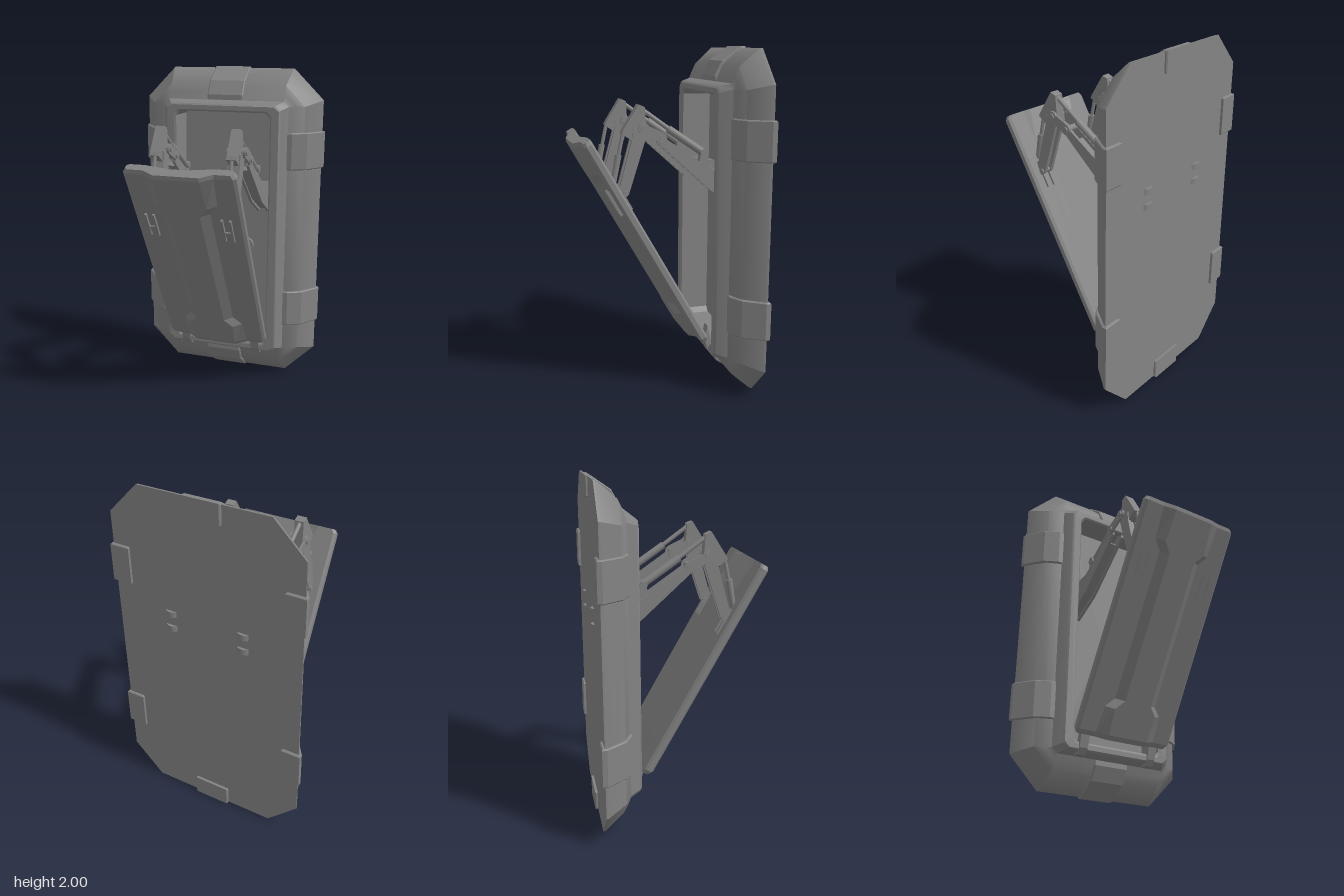
import * as THREE from 'three';
import { toCreasedNormals } from 'three/addons/utils/BufferGeometryUtils.js';

const material = new THREE.MeshStandardMaterial({ color: 0x838383, flatShading: true });
const smooth = new THREE.MeshStandardMaterial({ color: 0x838383 });

function add(parent, name, geometry, mat = material) {
  const mesh = new THREE.Mesh(geometry, mat);
  mesh.name = name;
  parent.add(mesh);
  return mesh;
}

// Skin a list of rings of [x, y, z] points and close both ends
function loft(rings) {
  const pos = [];
  const n = rings[0].length;
  const tri = (a, b, c) => pos.push(...a, ...b, ...c);
  const centre = (ring) => [0, 1, 2].map((k) => ring.reduce((s, p) => s + p[k], 0) / n);
  const first = rings[0], last = rings[rings.length - 1];
  const c0 = centre(first), c1 = centre(last);
  for (let i = 0; i < n; i++) {
    const j = (i + 1) % n;
    tri(c0, first[j], first[i]);
    tri(c1, last[i], last[j]);
    for (let r = 0; r < rings.length - 1; r++) {
      const a = rings[r], b = rings[r + 1];
      tri(a[i], a[j], b[j]);
      tri(a[i], b[j], b[i]);
    }
  }
  const g = new THREE.BufferGeometry();
  g.setAttribute('position', new THREE.Float32BufferAttribute(pos, 3));
  g.computeVertexNormals();
  return g;
}

// Rectangle with cut corners, counter-clockwise from the front
function octagon(z, w, h, c) {
  return [[w, -h + c], [w, h - c], [w - c, h], [-w + c, h],
    [-w, h - c], [-w, -h + c], [-w + c, -h], [w - c, -h]].map(([x, y]) => [x, y + 1, z]);
}

// Plate with a (z, y) outline and a thickness along x
function plate(points, x, width) {
  const shape = new THREE.Shape(points.map(([z, y]) => new THREE.Vector2(z, y)));
  const g = new THREE.ExtrudeGeometry(shape, { depth: width, bevelEnabled: false });
  return g.rotateY(-Math.PI / 2).translate(x + width / 2, 0, 0);
}

// Rod between two (z, y) points at a fixed x
function rod(x, [z0, y0], [z1, y1], r, r1 = r) {
  const a = new THREE.Vector3(x, y0, z0), b = new THREE.Vector3(x, y1, z1);
  const dir = b.clone().sub(a);
  const g = new THREE.CylinderGeometry(r1, r, dir.length(), 16);
  g.applyQuaternion(new THREE.Quaternion().setFromUnitVectors(new THREE.Vector3(0, 1, 0), dir.normalize()));
  const m = a.add(b).multiplyScalar(0.5);
  return g.translate(m.x, m.y, m.z);
}

// Pin running along x
function pin(x, [z, y], r, width) {
  return new THREE.CylinderGeometry(r, r, width, 20).rotateZ(Math.PI / 2).translate(x, y, z);
}

function buildFrame(root) {
  const frame = new THREE.Group();
  frame.name = 'frame';
  root.add(frame);
  // Flared casing, raised front rim, then the recess walls and floor
  add(frame, 'casing', toCreasedNormals(loft([
    octagon(-0.49, 0.575, 0.992, 0.185),
    octagon(-0.475, 0.572, 0.99, 0.185),
    octagon(-0.365, 0.488, 0.895, 0.12),
    octagon(-0.34, 0.435, 0.84, 0.06),
    octagon(-0.325, 0.398, 0.805, 0.03),
    octagon(-0.265, 0.364, 0.787, 0.03),
    octagon(-0.255, 0.355, 0.777, 0.03),
    octagon(-0.255, 0.31, 0.75, 0.03),
    octagon(-0.265, 0.3, 0.74, 0.03),
    octagon(-0.44, 0.3, 0.74, 0.03),
  ]), 0.6), smooth);

  // Clamps wrapping the flank and hooking round the back
  const clampGeometry = (length, shift) => {
    const outline = [[0.47, -0.505], [0.588, -0.505], [0.588, -0.477], [0.508, -0.363],
      [0.425, -0.318], [0.395, -0.318], [0.395, -0.4], [0.47, -0.45]];
    const shape = new THREE.Shape(outline.map(([d, z]) => new THREE.Vector2(d + shift, z)));
    const bevel = 0.006;
    const g = new THREE.ExtrudeGeometry(shape, {
      depth: length - 2 * bevel, bevelThickness: bevel, bevelSize: bevel, bevelOffset: -bevel, bevelSegments: 1,
    });
    return g.translate(0, 0, bevel - length / 2).rotateX(Math.PI / 2);
  };
  for (const turn of [0, Math.PI]) {
    for (const y of [-0.5, 0.508]) {
      const k = turn ? -1 : 1;
      add(frame, 'sideClamp', clampGeometry(0.226, 0).translate(0, y * k, 0).rotateZ(turn).translate(0, 1, 0));
    }
    add(frame, 'endClamp', clampGeometry(0.226, 0.412).rotateZ(turn + Math.PI / 2).translate(0, 1, 0));
  }

  // Fittings on the recess floor
  add(frame, 'floorButton', new THREE.CylinderGeometry(0.05, 0.05, 0.03, 24)
    .rotateX(Math.PI / 2).translate(0.115, 0.87, -0.43));
  add(frame, 'floorCapsule', new THREE.CapsuleGeometry(0.03, 0.12, 6, 16)
    .scale(1, 1, 0.6).translate(0.092, 0.645, -0.44), smooth);
}

function buildDoor(root) {
  const door = new THREE.Group();
  door.name = 'door';
  door.position.set(0, 0.33, -0.235);
  door.rotation.x = 0.517;
  root.add(door);
  // Panel section at height v: raised middle of half width a, its foot at b,
  // ends thinned by f and the back dished by d
  const section = (v, a, b, w, f = 0, d = 0) => {
    const half = [[a, 0.087 - f], [b, 0.053 - f], [w - 0.015, 0.053 - f], [w, 0.04 - f],
      [w, 0.012], [w - 0.015, 0], [0.2, 0], [0.13, d]];
    const mirrored = half.map(([x, z]) => [-x, z]).reverse();
    return [...half, ...mirrored].map(([x, z]) => [x, v, z]);
  };
  add(door, 'doorPanel', loft([
    section(-0.018, 0.13, 0.2, 0.3, 0.008, 0.012),
    section(0.012, 0.13, 0.2, 0.32, 0, 0.01),
    section(0.165, 0.14, 0.19, 0.32),
    section(0.22, 0.09, 0.14, 0.32),
    section(1.095, 0.09, 0.14, 0.32),
    section(1.155, 0.14, 0.19, 0.32),
    section(1.345, 0.13, 0.2, 0.32, 0, 0.02),
    section(1.367, 0.13, 0.2, 0.305, 0.008, 0.022),
  ]));
  for (const x of [-0.225, 0.225]) {
    // Arm fork let through the panel
    for (const s of [-1, 1]) {
      add(door, 'forkCheek', new THREE.BoxGeometry(0.012, 0.16, 0.08).translate(x + s * 0.024, 0.98, 0.028));
    }
    add(door, 'forkBridge', new THREE.BoxGeometry(0.06, 0.035, 0.03).translate(x, 0.95, 0.047));
    add(door, 'forkPin', pin(x, [-0.02, 1], 0.014, 0.09));
  }
}

function buildArm(root, x) {
  const arm = new THREE.Group();
  arm.name = 'liftArm';
  root.add(arm);
  // Lower arm: a web between two tapered cheeks
  const lower = [[-0.44, 1.1], [-0.255, 1.2], [0.05, 1.475], [0.04, 1.525], [-0.01, 1.49], [-0.2, 1.36], [-0.25, 1.33], [-0.44, 1.3]];
  for (const s of [-1, 1]) {
    add(arm, 'lowerArmCheek', plate(lower, x + s * 0.032, 0.016));
    // Elbow link with rounded ends
    add(arm, 'elbowLink', plate([[0.035, 1.48], [0.15, 1.535], [0.15, 1.595], [0.03, 1.54]], x + s * 0.044, 0.012));
    for (const p of [[0.04, 1.51], [0.14, 1.565]]) {
      add(arm, 'linkBoss', pin(x + s * 0.044, p, 0.03, 0.014));
    }
    // Upper arm rails reaching down to the door
    add(arm, 'upperArmRail', plate([[0.25, 1.18], [0.285, 1.21], [0.205, 1.5], [0.2, 1.56],
      [0.125, 1.56], [0.12, 1.53], [0.225, 1.2]], x + s * 0.025, 0.02));
  }
  add(arm, 'lowerArmWeb', plate([[-0.44, 1.12], [-0.25, 1.22], [0.0, 1.44], [-0.02, 1.46], [-0.25, 1.29], [-0.44, 1.25]], x, 0.05));
  add(arm, 'elbowPin', pin(x, [0.04, 1.51], 0.018, 0.118));
  add(arm, 'elbowPin', pin(x, [0.14, 1.565], 0.018, 0.118));

  // Solid head of the upper arm and the web between its rails
  add(arm, 'upperArmHead', plate([[0.205, 1.5], [0.26, 1.54], [0.25, 1.56],
    [0.165, 1.695], [0.13, 1.68], [0.12, 1.53]], x, 0.056));
  add(arm, 'upperArmWeb', plate([[0.235, 1.22], [0.255, 1.23], [0.19, 1.51], [0.155, 1.51]], x, 0.03));

  // Piston from the recess to the head of the upper arm
  add(arm, 'rearPistonBody', rod(x, [-0.21, 1.42], [-0.01, 1.555], 0.022), smooth);
  add(arm, 'rearPistonRod', rod(x, [-0.02, 1.55], [0.14, 1.665], 0.013), smooth);
  add(arm, 'rearPistonPin', pin(x, [-0.215, 1.415], 0.022, 0.06));
  add(arm, 'rearPistonBracket', plate([[-0.26, 1.3], [-0.19, 1.36], [-0.2, 1.43], [-0.235, 1.43]], x, 0.04));

  // Piston from the upper arm to the door
  add(arm, 'frontPistonRod', rod(x, [0.245, 1.55], [0.28, 1.39], 0.011), smooth);
  add(arm, 'frontPistonBody', rod(x, [0.275, 1.42], [0.305, 1.26], 0.019, 0.016), smooth);

  // Mount ends showing through the back
  for (const y of [1.19, 1.28]) {
    add(arm, 'backMount', new THREE.CylinderGeometry(0.045, 0.045, 0.035, 20).translate(x, y, -0.462));
  }

  // Hinge at the foot of the door
  add(arm, 'hinge', plate([[-0.31, 0.19], [-0.275, 0.195], [-0.25, 0.23], [-0.232, 0.3], [-0.248, 0.38], [-0.268, 0.3], [-0.285, 0.24]], x + Math.sign(x) * 0.01, 0.055));
}

export function createModel() {
  const root = new THREE.Group();
  root.name = 'hatch';
  buildFrame(root);
  buildDoor(root);
  for (const x of [-0.225, 0.225]) buildArm(root, x);
  // Rod joining the hinges
  add(root, 'hingeRod', pin(0, [-0.275, 0.25], 0.017, 0.6), smooth);
  return root;
}
